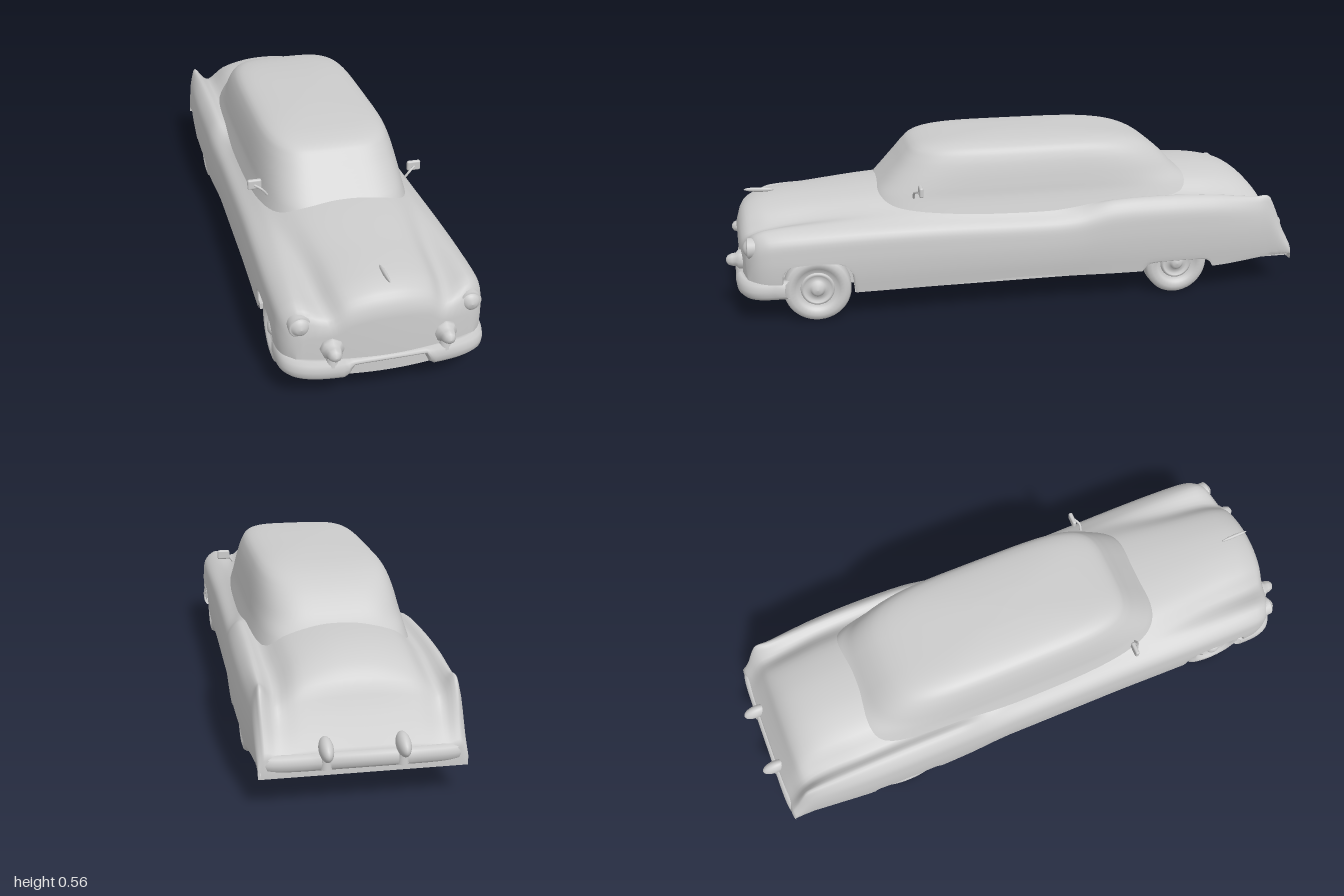
import * as THREE from 'three';
import { RoundedBoxGeometry } from 'three/addons/geometries/RoundedBoxGeometry.js';

const paint = new THREE.MeshStandardMaterial({ color: 0xcccccc, side: THREE.DoubleSide });
const V = (x, y, z) => new THREE.Vector3(x, y, z);

function part(name, geometry, parent, x = 0, y = 0, z = 0) {
  const mesh = new THREE.Mesh(geometry, paint);
  mesh.name = name;
  mesh.position.set(x, y, z);
  parent.add(mesh);
  return mesh;
}

// Skin a list of equally long rows of points
function loft(rows, closed = false) {
  const n = rows[0].length, index = [];
  for (let j = 0; j < rows.length - 1; j++) {
    for (let i = 0; i < (closed ? n : n - 1); i++) {
      const a = j * n + i, b = a + n, c = j * n + (i + 1) % n, d = c + n;
      index.push(a, b, c, c, b, d);
    }
  }
  const g = new THREE.BufferGeometry().setFromPoints(rows.flat());
  g.setIndex(index);
  g.computeVertexNormals();
  return g;
}

// Smooth interpolation of a table whose first column is the key
function sample(table, key) {
  const last = table.length - 1;
  const up = table[last][0] > table[0][0] ? 1 : -1;
  let i = 0;
  while (i < last - 1 && (key - table[i + 1][0]) * up > 0) i++;
  const p = table[i], q = table[i + 1], o = table[Math.max(i - 1, 0)], r = table[Math.min(i + 2, last)];
  const h = q[0] - p[0], t = (key - p[0]) / h;
  return p.map((v, k) => {
    const m0 = (q[k] - o[k]) / (q[0] - o[0]) * h, m1 = (r[k] - p[k]) / (r[0] - p[0]) * h;
    const d = q[k] - v;
    return v + t * (m0 + t * (3 * d - 2 * m0 - m1 + t * (m0 + m1 - 2 * d)));
  });
}

// Stations: z, half width, fender crown y and x, valley y and x, centre line y
const stations = [
  [0.965, 0.27, 0.22, 0.25, 0.235, 0.16, 0.28],
  [0.95, 0.293, 0.28, 0.255, 0.268, 0.17, 0.325],
  [0.92, 0.308, 0.307, 0.26, 0.285, 0.18, 0.352],
  [0.86, 0.315, 0.318, 0.26, 0.3, 0.19, 0.37],
  [0.7, 0.318, 0.325, 0.26, 0.325, 0.2, 0.385],
  [0.5, 0.316, 0.328, 0.26, 0.345, 0.22, 0.4],
  [0.3, 0.313, 0.325, 0.265, 0.35, 0.23, 0.405],
  [-0.08, 0.312, 0.315, 0.27, 0.342, 0.24, 0.4],
  [-0.18, 0.315, 0.322, 0.275, 0.342, 0.24, 0.4],
  [-0.3, 0.322, 0.352, 0.28, 0.346, 0.24, 0.41],
  [-0.5, 0.325, 0.358, 0.28, 0.345, 0.24, 0.42],
  [-0.65, 0.322, 0.352, 0.28, 0.335, 0.24, 0.418],
  [-0.75, 0.316, 0.342, 0.28, 0.32, 0.235, 0.405],
  [-0.82, 0.31, 0.336, 0.28, 0.302, 0.235, 0.378],
  [-0.865, 0.306, 0.335, 0.283, 0.28, 0.24, 0.335],
  [-0.89, 0.304, 0.29, 0.283, 0.25, 0.24, 0.28],
  [-0.92, 0.302, 0.22, 0.28, 0.2, 0.24, 0.22],
  [-0.955, 0.3, 0.155, 0.28, 0.15, 0.24, 0.155],
];
const wheelsZ = [0.705, -0.53];

// Lower edge of the body side, raised over the wheels
function sill(z) {
  const arch = (c, half, rise) => rise * Math.max(0, 1 - Math.abs((z - c) / half) ** 4) ** 0.25;
  return 0.1 + arch(wheelsZ[0], 0.12, 0.11) + arch(wheelsZ[1], 0.12, 0.032)
    + 0.02 * THREE.MathUtils.smoothstep(-z, 0.64, 0.95);
}

function bodyGeometry() {
  const rows = [], N = 180, SEG = 72;
  for (let j = 0; j <= N; j++) {
    const z = 0.965 - 1.92 * j / N;
    const [, w, yS, xF, yV, xV, yH] = sample(stations, z);
    const side = (t) => 0.1 + (yS - 0.1) * t;
    const half = [
      [w - 0.008, 0.1], [w, side(0.3)], [w, side(0.6)], [w - 0.01, side(0.85)], [xF, yS], [xV, yV],
      [xV * 0.72, yV + (yH - yV) * 0.62], [xV * 0.36, yV + (yH - yV) * 0.92],
    ];
    const pts = [...half.map(([x, y]) => V(x, y, 0)), V(0, yH, 0),
      ...half.map(([x, y]) => V(-x, y, 0)).reverse()];
    const curve = new THREE.CatmullRomCurve3(pts), low = sill(z);
    const bend = 0.05 * THREE.MathUtils.smoothstep(z, 0.78, 0.96);
    rows.push(Array.from({ length: SEG + 1 }, (_, i) => {
      const p = curve.getPoint(i / SEG);
      return V(p.x, Math.max(p.y, low), z - bend * (p.x / 0.3) ** 2);
    }));
  }
  // close both ends down to the sill
  const close = (row) => row.map((p) => V(p.x, 0.1, p.z));
  return loft([close(rows[0]), ...rows, close(rows[N])]);
}

// Cabin rings: y, front z, rear z, half width
const rings = [
  [0.32, 0.53, -0.68, 0.262], [0.38, 0.5, -0.63, 0.246], [0.42, 0.465, -0.575, 0.239],
  [0.47, 0.42, -0.525, 0.229], [0.51, 0.385, -0.475, 0.217], [0.535, 0.355, -0.42, 0.202],
  [0.55, 0.3, -0.35, 0.175], [0.559, 0.21, -0.26, 0.13], [0.565, 0.09, -0.14, 0.06], [0.566, -0.02, -0.03, 0.003],
];
function cabinGeometry() {
  const rows = [], SEG = 80, pow = (v) => Math.sign(v) * Math.abs(v) ** 0.46;
  for (let k = 0; k < rings.length - 1; k++) {
    for (let s = 0; s < 4; s++) {
      const [y, f, r, w] = sample(rings, rings[k][0] + (rings[k + 1][0] - rings[k][0]) * s / 4);
      rows.push(Array.from({ length: SEG }, (_, i) => {
        const a = i / SEG * Math.PI * 2;
        return V(w * pow(Math.cos(a)), y, (f + r) / 2 + (f - r) / 2 * pow(Math.sin(a)));
      }));
    }
  }
  rows.push(rows[0].map(() => V(0, 0.566, -0.025)));
  return loft(rows, true);
}

// Wrap-around bumper; bottom(x) gives its lower edge
function bumperGeometry(halfWidth, z0, depth, top, bottom, power) {
  const rows = [], N = 80;
  for (let j = 0; j <= N; j++) {
    const a = (j / N - 0.5) * Math.PI;
    const x = halfWidth * Math.sign(a) * Math.abs(Math.sin(a)) ** power;
    const d = depth * Math.max(0, Math.cos(a)) ** power;
    const b = bottom(x), h = top - b;
    rows.push([[0.87, 0], [0.97, 0], [0.995, 0.2], [1, 0.5], [0.99, 0.85], [0.96, 1], [0.87, 1]]
      .map(([s, t]) => V(x * s, b + h * t, z0 + d - (1 - s) * 0.35)));
  }
  return loft(rows, true);
}

const lathe = (pts, sides = 40) => new THREE.LatheGeometry(pts.map(([r, h]) => new THREE.Vector2(r, h)), sides);

function addWheel(car, side, z) {
  const wheel = new THREE.Group();
  wheel.name = (z > 0 ? 'front' : 'rear') + (side > 0 ? 'Left' : 'Right') + 'Wheel';
  part('tyre', lathe([[0, -0.034], [0.09, -0.034], [0.103, -0.03], [0.11, -0.02], [0.11, 0.02],
    [0.104, 0.03], [0.09, 0.034], [0.072, 0.032], [0.07, 0.02], [0.052, 0.018]]), wheel);
  part('hubcap', lathe([[0.056, 0.016], [0.054, 0.026], [0.047, 0.028], [0.042, 0.02], [0.026, 0.022],
    [0.022, 0.032], [0.014, 0.038], [0, 0.04]]), wheel);
  wheel.rotation.z = -side * Math.PI / 2;
  wheel.position.set(side * 0.268, 0.115, z);
  car.add(wheel);
}

export function createModel() {
  const car = new THREE.Group();
  car.name = 'sedan';
  part('body', bodyGeometry(), car);
  part('cabin', cabinGeometry(), car);

  // floor pan, full width between the wheels
  part('floor', new THREE.BoxGeometry(0.44, 0.08, 1.82), car, 0, 0.14, -0.01);
  part('middleFloor', new THREE.BoxGeometry(0.61, 0.02, 0.99), car, 0, 0.11, 0.09);
  part('rearFloor', new THREE.BoxGeometry(0.59, 0.02, 0.29), car, 0, 0.123, -0.8);

  // bumpers, the front one with a cut-out in the middle
  part('frontBumper', bumperGeometry(0.318, 0.81, 0.165, 0.155,
    (x) => 0.095 + 0.044 * (1 - THREE.MathUtils.smoothstep(Math.abs(x), 0.105, 0.135)), 0.5), car);
  part('rearBumper', bumperGeometry(0.302, 0.86, 0.105, 0.165, () => 0.115, 0.25), car).rotation.y = Math.PI;

  // hood ornament
  const ornament = part('hoodOrnament', new THREE.SphereGeometry(1, 16, 10), car, 0, 0.378, 0.885);
  ornament.scale.set(0.006, 0.008, 0.05);
  ornament.rotation.x = -0.06;

  for (const s of [1, -1]) {
    for (const z of wheelsZ) addWheel(car, s, z);

    // headlamp with rim and domed lens
    part('headlamp', lathe([[0.034, -0.06], [0.034, 0], [0.03, 0.004], [0.027, 0.001], [0.024, 0.008],
      [0.014, 0.015], [0, 0.018]], 32), car, s * 0.256, 0.26, 0.918).rotation.x = Math.PI / 2;

    // front bumper guard: faceted collar, round tip and foot
    part('bumperGuard', lathe([[0.024, -0.08], [0.036, -0.045], [0.034, -0.03], [0.024, -0.022], [0.023, -0.01],
      [0.017, 0.004], [0.008, 0.01], [0, 0.012]], 8), car, s * 0.17, 0.193, 0.987).rotation.x = Math.PI / 2;
    part('guardFoot', new THREE.CylinderGeometry(0.014, 0.02, 0.05, 16), car, s * 0.17, 0.163, 0.95);

    // rear bumper guard
    const guard = part('rearGuard', new THREE.SphereGeometry(1, 20, 14), car, s * 0.11, 0.178, -0.955);
    guard.scale.set(0.021, 0.03, 0.047);
    guard.rotation.x = -0.25;
    part('rearGuardFoot', new THREE.CylinderGeometry(0.015, 0.017, 0.05, 16), car, s * 0.11, 0.145, -0.955);

    // door mirror on a bent stalk
    part('mirror', new RoundedBoxGeometry(0.046, 0.034, 0.014, 3, 0.006), car, s * 0.269, 0.422, 0.355);
    const stalk = new THREE.CatmullRomCurve3([V(s * 0.232, 0.39, 0.375), V(s * 0.25, 0.412, 0.375), V(s * 0.27, 0.421, 0.362)]);
    part('mirrorStalk', new THREE.TubeGeometry(stalk, 10, 0.004, 8), car);
  }
  return car;
}
